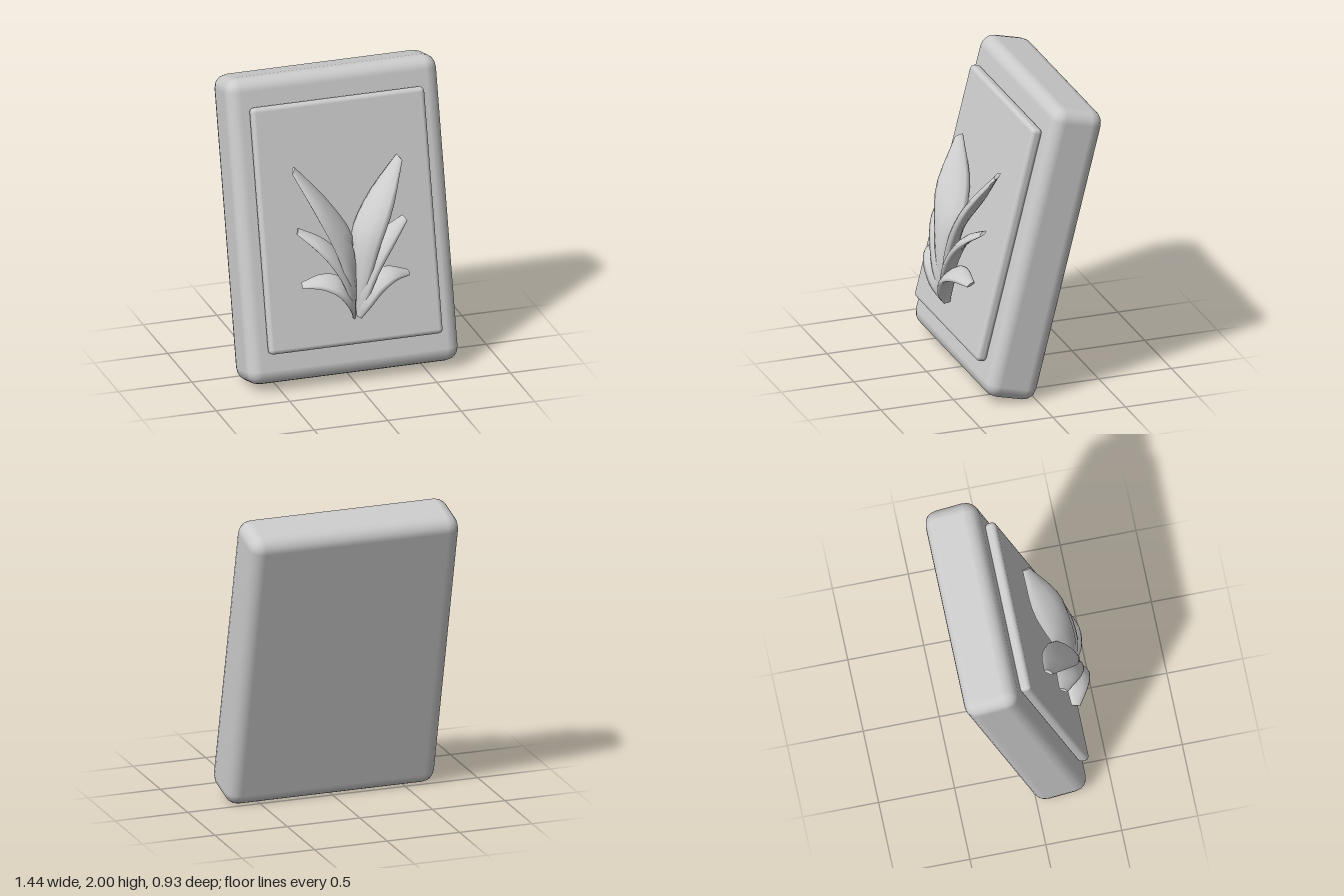
import * as THREE from 'three';
import { RoundedBoxGeometry } from 'three/addons/geometries/RoundedBoxGeometry.js';

const TILT = THREE.MathUtils.degToRad(14);
const RINGS = 14, SIDES = 10;

// Each leaf: stations from root to tip as [inner edge, outer edge, thickness]
const LEAVES = {
  tallLeaf: [
    [[0.01, 0.47, 0.34], [0.03, 0.47, 0.38], 0.012],
    [[0.0, 0.72, 0.3], [0.07, 0.7, 0.41], 0.035],
    [[0.0, 1.0, 0.24], [0.14, 0.92, 0.395], 0.045],
    [[0.14, 1.22, 0.15], [0.25, 1.17, 0.345], 0.045],
    [[0.35, 1.47, 0.12], [0.375, 1.44, 0.17], 0.015],
  ],
  middleLeaf: [
    [[0.01, 0.47, 0.34], [0.03, 0.47, 0.39], 0.012],
    [[0.02, 0.68, 0.31], [0.07, 0.64, 0.43], 0.03],
    [[0.1, 0.9, 0.26], [0.15, 0.81, 0.425], 0.035],
    [[0.21, 1.0, 0.23], [0.255, 0.95, 0.38], 0.035],
    [[0.355, 1.08, 0.22], [0.375, 1.055, 0.27], 0.014],
  ],
  lowLeaf: [
    [[0.01, 0.48, 0.34], [0.025, 0.465, 0.39], 0.014],
    [[0.04, 0.65, 0.31], [0.07, 0.56, 0.45], 0.03],
    [[0.11, 0.745, 0.29], [0.15, 0.665, 0.465], 0.035],
    [[0.22, 0.765, 0.29], [0.25, 0.715, 0.43], 0.03],
    [[0.355, 0.73, 0.3], [0.365, 0.71, 0.355], 0.014],
  ],
};

// Lofts a lens-shaped section along two edge curves; side = -1 mirrors it
function leafGeometry(stations, side) {
  const curve = (k) => new THREE.CatmullRomCurve3(stations.map((s) => new THREE.Vector3(...s[k])));
  const inner = curve(0), outer = curve(1);
  const pos = [], index = [];
  const mid = (t) => inner.getPoint(t).add(outer.getPoint(t)).multiplyScalar(0.5);
  const tri = (a, b, c) => (side > 0 ? index.push(a, b, c) : index.push(a, c, b));
  const put = (p) => pos.push(side * Math.max(0, p.x), p.y, p.z);

  for (let i = 0; i <= RINGS; i++) {
    const t = i / RINGS, c = mid(t);
    const tangent = mid(Math.min(1, t + 0.02)).sub(mid(Math.max(0, t - 0.02))).normalize();
    const w = outer.getPoint(t).sub(c);
    const e = tangent.clone().cross(w).normalize();
    const f = t * (stations.length - 1), k = Math.min(stations.length - 2, Math.floor(f));
    const thick = THREE.MathUtils.lerp(stations[k][2], stations[k + 1][2], f - k);
    for (let j = 0; j < SIDES; j++) {
      const a = (j / SIDES) * Math.PI * 2, s = Math.sin(a);
      put(c.clone().addScaledVector(w, Math.cos(a)).addScaledVector(e, s * thick * (s > 0 ? 0.5 : 1)));
    }
  }
  for (let i = 0; i < RINGS; i++) {
    for (let j = 0; j < SIDES; j++) {
      const a = i * SIDES + j, b = i * SIDES + ((j + 1) % SIDES);
      tri(a, b, b + SIDES);
      tri(a, b + SIDES, a + SIDES);
    }
  }
  // Flat caps at root and tip, with their own corners
  for (const ring of [0, RINGS]) {
    const start = pos.length / 3;
    for (let j = 0; j < SIDES * 3; j++) pos.push(pos[ring * SIDES * 3 + j]);
    for (let j = 1; j < SIDES - 1; j++) {
      if (ring) tri(start, start + j, start + j + 1);
      else tri(start, start + j + 1, start + j);
    }
  }
  const geo = new THREE.BufferGeometry();
  geo.setAttribute('position', new THREE.Float32BufferAttribute(pos, 3));
  geo.setIndex(index);
  geo.computeVertexNormals();
  return geo;
}

export function createModel() {
  const model = new THREE.Group();
  model.name = 'reliefTablet';
  const stone = new THREE.MeshStandardMaterial({ color: 0xcccccc });
  stone.name = 'paleStone';

  const add = (name, geo, parent) => {
    const mesh = new THREE.Mesh(geo, stone);
    mesh.name = name;
    parent.add(mesh);
    return mesh;
  };

  // Leaning tablet: slab with a raised panel
  const tablet = new THREE.Group();
  tablet.name = 'tablet';
  tablet.rotation.x = -TILT;
  model.add(tablet);
  add('slab', new RoundedBoxGeometry(1.44, 2.014, 0.362, 2, 0.09), tablet).position.set(0, 0.983, 0.181);
  add('raisedPanel', new RoundedBoxGeometry(1.18, 1.62, 0.075, 2, 0.03), tablet).position.set(0, 0.99, 0.3955);

  // Mirrored spray of leaves
  const spray = new THREE.Group();
  spray.name = 'leafSpray';
  model.add(spray);
  for (const [name, stations] of Object.entries(LEAVES)) {
    add(name + 'Left', leafGeometry(stations, 1), spray);
    add(name + 'Right', leafGeometry(stations, -1), spray);
  }
  return model;
}
